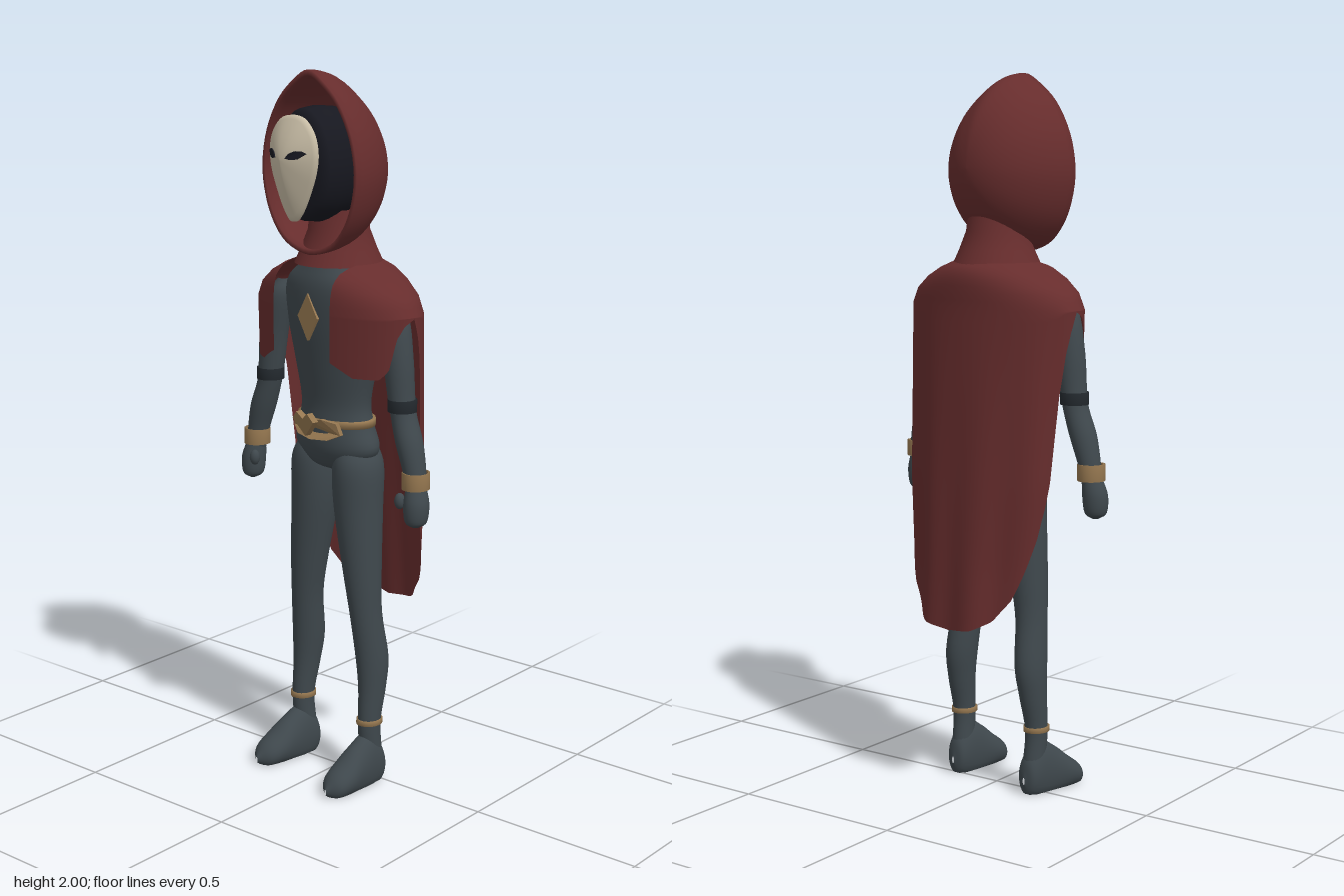
import * as THREE from 'three';

const mat = (name, color, side = THREE.FrontSide) => {
  const m = new THREE.MeshStandardMaterial({ color, side });
  m.name = name;
  return m;
};

// Grid surface: fn(u, v) gives a point; columns may wrap around
function surface(cols, rows, fn, wrap = true) {
  const pos = [], idx = [], n = wrap ? cols : cols + 1;
  for (let i = 0; i <= rows; i++)
    for (let j = 0; j < n; j++) pos.push(...fn(j / cols, i / rows));
  for (let i = 0; i < rows; i++)
    for (let j = 0; j < cols; j++) {
      const k = (j + 1) % n;
      const a = i * n + j, b = i * n + k, c = a + n, d = b + n;
      idx.push(a, c, b, b, c, d);
    }
  const g = new THREE.BufferGeometry();
  g.setAttribute('position', new THREE.Float32BufferAttribute(pos, 3));
  g.setIndex(idx);
  g.computeVertexNormals();
  return g;
}

// Smooth loft through elliptical rings [y, cx, cz, rx, rz], listed upward
function loft(rings, side = 1, cols = 28) {
  const curve = f => new THREE.CatmullRomCurve3(rings.map(f), false, 'catmullrom', 0.5);
  const mid = curve(r => new THREE.Vector3(r[1] * side, r[0], r[2]));
  const rad = curve(r => new THREE.Vector3(r[3], 0, r[4]));
  return surface(cols, (rings.length - 1) * 5, (u, v) => {
    const c = mid.getPoint(v), r = rad.getPoint(v), a = u * Math.PI * 2;
    return [c.x + Math.max(r.x, 0.001) * Math.cos(a), c.y, c.z + Math.max(r.z, 0.001) * Math.sin(a)];
  });
}

// Straight band around an ellipse
function band(x, z, y0, y1, rx, rz) {
  const p = [[y0, 0.85], [y0, 1], [y1, 1], [y1, 0.85]];
  return surface(32, 3, (u, v) => {
    const [y, k] = p[Math.round(v * 3)], a = u * Math.PI * 2;
    return [x + k * rx * Math.cos(a), y, z + k * rz * Math.sin(a)];
  });
}

// Piecewise linear lookup in [[x, y], ...]
function lookup(table, x) {
  for (let i = 1; i < table.length; i++) {
    const [x0, y0] = table[i - 1], [x1, y1] = table[i];
    if (x <= x1) return y0 + (y1 - y0) * (x - x0) / (x1 - x0);
  }
  return table[table.length - 1][1];
}

// Closed symmetric outline from its right half, listed top to bottom
function outline(half) {
  const left = half.slice(1, -1).reverse().map(([x, y]) => [-x, y]);
  return new THREE.CatmullRomCurve3(
    [...half, ...left].map(([x, y]) => new THREE.Vector3(x, y, 0)), true, 'catmullrom', 0.5);
}

// Thin plate whose vertices are pushed forward by zAt(x, y)
function plate(points, depth, zAt) {
  const shape = new THREE.Shape(points.map(p => new THREE.Vector2(...p)));
  let g = new THREE.ExtrudeGeometry(shape, { depth, bevelEnabled: false });
  const p = g.attributes.position;
  for (let i = 0; i < p.count; i++) p.setZ(i, p.getZ(i) + zAt(p.getX(i), p.getY(i)));
  g.computeVertexNormals();
  return g;
}

export function createModel() {
  const cloth = mat('dark red cloth', 0x672d2d, THREE.DoubleSide);
  const suit = mat('slate suit', 0x3f484d);
  const gold = mat('old gold', 0x957750, THREE.DoubleSide);
  const bone = mat('bone mask', 0xc8bda6, THREE.DoubleSide);
  const black = mat('blue black', 0x171820, THREE.DoubleSide);
  const strap = mat('dark strap', 0x23292e);

  const model = new THREE.Group();
  model.name = 'hoodedFigure';
  const body = new THREE.Group();
  body.name = 'body';
  body.rotation.y = -0.14;
  model.add(body);
  const add = (name, geo, m) => {
    const mesh = new THREE.Mesh(geo, m);
    mesh.name = name;
    body.add(mesh);
    return mesh;
  };

  // Torso
  add('torso', loft([
    [0.9, 0, 0, 0.02, 0.03], [0.92, 0, 0.003, 0.095, 0.065], [0.97, 0, 0.005, 0.147, 0.083],
    [1.04, 0, 0.008, 0.125, 0.08], [1.1, 0, 0.01, 0.117, 0.076], [1.2, 0, 0.01, 0.137, 0.088],
    [1.32, 0, 0.01, 0.165, 0.1], [1.42, 0, 0.01, 0.17, 0.1], [1.48, 0, 0.005, 0.11, 0.085],
    [1.55, 0, 0, 0.06, 0.06]], 1, 40), suit);

  // Limbs
  for (const s of [1, -1]) {
    const n = s > 0 ? 'left' : 'right';
    add(n + 'Leg', loft([
      [0.08, 0.14, 0.005, 0.03, 0.035], [0.18, 0.142, 0.012, 0.03, 0.034], [0.28, 0.14, 0, 0.036, 0.042],
      [0.37, 0.135, -0.004, 0.042, 0.05], [0.5, 0.124, 0.01, 0.043, 0.048], [0.62, 0.111, 0.012, 0.052, 0.056],
      [0.8, 0.09, 0.008, 0.067, 0.07], [0.92, 0.085, 0.005, 0.068, 0.075], [0.98, 0.08, 0, 0.045, 0.06]], s), suit);
    // Foot runs along z and is flattened on the ground
    const foot = loft([
      [-0.038, 0.14, -0.04, 0.004, 0.01], [-0.025, 0.14, -0.05, 0.03, 0.055], [0.02, 0.141, -0.06, 0.04, 0.09],
      [0.075, 0.144, -0.05, 0.045, 0.073], [0.12, 0.147, -0.038, 0.048, 0.05], [0.16, 0.149, -0.025, 0.038, 0.034],
      [0.187, 0.15, -0.018, 0.004, 0.008]], s).rotateX(Math.PI / 2);
    const p = foot.attributes.position;
    for (let i = 0; i < p.count; i++) p.setY(i, Math.max(p.getY(i), 0));
    foot.computeVertexNormals();
    add(n + 'Foot', foot, suit);
    add(n + 'AnkleBand', band(s * 0.142, 0.012, 0.178, 0.192, 0.035, 0.039), gold);

    add(n + 'Arm', loft([
      [0.89, 0.333, 0.023, 0.025, 0.028], [0.95, 0.325, 0.021, 0.03, 0.032], [1.03, 0.302, 0.02, 0.037, 0.038],
      [1.1, 0.278, 0.018, 0.035, 0.036], [1.15, 0.268, 0.018, 0.036, 0.038], [1.25, 0.255, 0.018, 0.041, 0.041],
      [1.36, 0.232, 0.016, 0.042, 0.042], [1.41, 0.215, 0.016, 0.015, 0.015]], s), suit);
    add(n + 'Hand', loft([
      [0.806, 0.34, 0.03, 0.008, 0.01], [0.822, 0.34, 0.03, 0.029, 0.031], [0.87, 0.339, 0.028, 0.034, 0.036],
      [0.92, 0.332, 0.023, 0.025, 0.028]], s), suit);
    const thumb = add(n + 'Thumb', new THREE.SphereGeometry(0.015, 14, 10), suit);
    thumb.position.set(s * 0.303, 0.876, 0.055);
    thumb.scale.set(1, 1.5, 1);
    add(n + 'Bracelet', band(s * 0.33, 0.022, 0.91, 0.955, 0.037, 0.039), gold);
    add(n + 'ElbowStrap', band(s * 0.272, 0.018, 1.112, 1.145, 0.039, 0.04), strap);
  }

  // Belt, buckle and chest diamond
  add('belt', band(0, 0.008, 1.035, 1.055, 0.13, 0.085), gold);
  const waistZ = x => 0.01 + 0.088 * Math.sqrt(Math.max(0, 1 - (x / 0.13) ** 2));
  add('beltPlate', plate([[-0.095, 1.02], [-0.06, 1.003], [0, 0.998], [0.06, 1.003], [0.095, 1.02],
    [0.085, 1.052], [0.04, 1.06], [0, 1.05], [-0.04, 1.06], [-0.085, 1.052]], 0.012, waistZ), gold);
  add('buckle', plate([[0, 1.01], [0.042, 1.055], [0.022, 1.078], [0, 1.06], [-0.022, 1.078], [-0.042, 1.055]],
    0.02, (x, y) => 0.105 + (y - 1.01) * 0.2), gold);
  add('chestDiamond', plate([[0, 1.275], [0.04, 1.34], [0, 1.405], [-0.04, 1.34]], 0.008, () => 0.108), gold);

  // Mantle over the shoulders, falling into a long cape at the back
  const shoulder = [[1.487, 0.125, 0.115], [1.47, 0.17, 0.138], [1.443, 0.225, 0.148],
    [1.408, 0.272, 0.15], [1.365, 0.295, 0.15]];
  const hem = [[0, 1.235], [0.1, 1.2], [0.22, 1.2], [0.27, 1.225], [0.31, 1.31], [0.36, 1.345], [0.43, 1.362],
    [0.47, 1.31], [0.5, 1.25], [0.53, 1.13], [0.56, 0.88], [0.6, 0.75], [0.65, 0.65], [0.7, 0.58],
    [0.78, 0.52], [0.88, 0.49], [1, 0.48]];
  const widthAt = [[0.48, 0.255], [0.65, 0.255], [0.88, 0.28], [1.365, 0.295]];
  const backAt = [[0.48, 0.203], [0.81, 0.185], [1.13, 0.166], [1.365, 0.15]];
  add('mantleAndCape', surface(140, 32, (w, v) => {
    const u = 1 - Math.abs(2 * w - 1), side = w <= 0.5 ? 1 : -1, row = v * 32;
    let y, rx, rz, fold = 0;
    if (row <= 8) {
      const t = row / 2, i = Math.min(3, Math.floor(t)), f = t - i;
      [y, rx, rz] = shoulder[i].map((q, k) => q + (shoulder[i + 1][k] - q) * f);
    } else {
      y = 1.365 + (lookup(hem, u) - 1.365) * (row - 8) / 24;
      rx = lookup(widthAt, y);
      rz = u > 0.43 ? lookup(backAt, y) : 0.15;
      fold = u > 0.45 ? (1.365 - y) / 0.885 : 0;
    }
    const start = Math.asin(0.115 / rx), phi = start + (Math.PI - start) * u;
    const k = 1 + 0.035 * fold * Math.cos(10 * phi + Math.PI);
    return [side * rx * Math.sin(phi) * k, y, rz * Math.cos(phi) * k];
  }, false), cloth);

  // Cowl around the neck
  const cowl = new THREE.LatheGeometry([[0.122, 1.48], [0.104, 1.52], [0.085, 1.57], [0.078, 1.63]]
    .map(q => new THREE.Vector2(...q)), 36);
  add('cowl', cowl, cloth);

  // Hood: pointed opening closing to a rounded back, with an inner lining
  const rim = outline([[0, 0.26], [0.055, 0.235], [0.12, 0.18], [0.17, 0.095], [0.19, 0],
    [0.178, -0.085], [0.145, -0.155], [0.09, -0.207], [0, -0.23]]);
  add('hood', surface(64, 33, (u, v) => {
    const row = Math.round(v * 33), outer = row <= 16;
    const a = (outer ? row : 33 - row) / 16 * Math.PI / 2;
    const k = Math.sin(a) * (outer ? 1 : 0.94), q = rim.getPoint(u);
    return [q.x * k, 1.74 + q.y * k, 0.11 - (outer ? 0.23 : 0.217) * Math.cos(a)];
  }), cloth);

  // Head
  const head = new THREE.LatheGeometry([[0, -0.09], [0.05, -0.075], [0.085, -0.035], [0.105, 0.02],
    [0.109, 0.08], [0.105, 0.125], [0.092, 0.15], [0, 0.158]].map(q => new THREE.Vector2(...q)), 36);
  head.rotateX(Math.PI / 2).scale(1, 1.42, 1).translate(0, 1.752, 0);
  add('head', head, black);

  // Mask with almond eyes
  const face = outline([[0, 0.115], [0.045, 0.105], [0.08, 0.068], [0.093, 0.02], [0.086, -0.03],
    [0.066, -0.08], [0.04, -0.13], [0.016, -0.16], [0, -0.165]]);
  const bulge = r => 0.165 + 0.045 * (1 - Math.pow(Math.min(r, 1), 1.6));
  add('mask', surface(56, 13, (u, v) => {
    const r = Math.min(1, v * 13 / 12), q = face.getPoint(u);
    return [q.x * r, 1.77 + q.y * r, v === 1 ? 0.155 : bulge(r)];
  }), bone);
  for (const s of [1, -1]) {
    const eye = [[0.02, 1.776], [0.035, 1.773], [0.052, 1.775], [0.073, 1.79], [0.06, 1.796], [0.045, 1.796], [0.03, 1.789]];
    add(s > 0 ? 'leftEye' : 'rightEye', plate(eye.map(([x, y]) => [s * x, y]), 0.004,
      (x, y) => bulge(Math.hypot(x / 0.093, (y - 1.77) / 0.11)) + 0.001), black);
  }
  return model;
}
